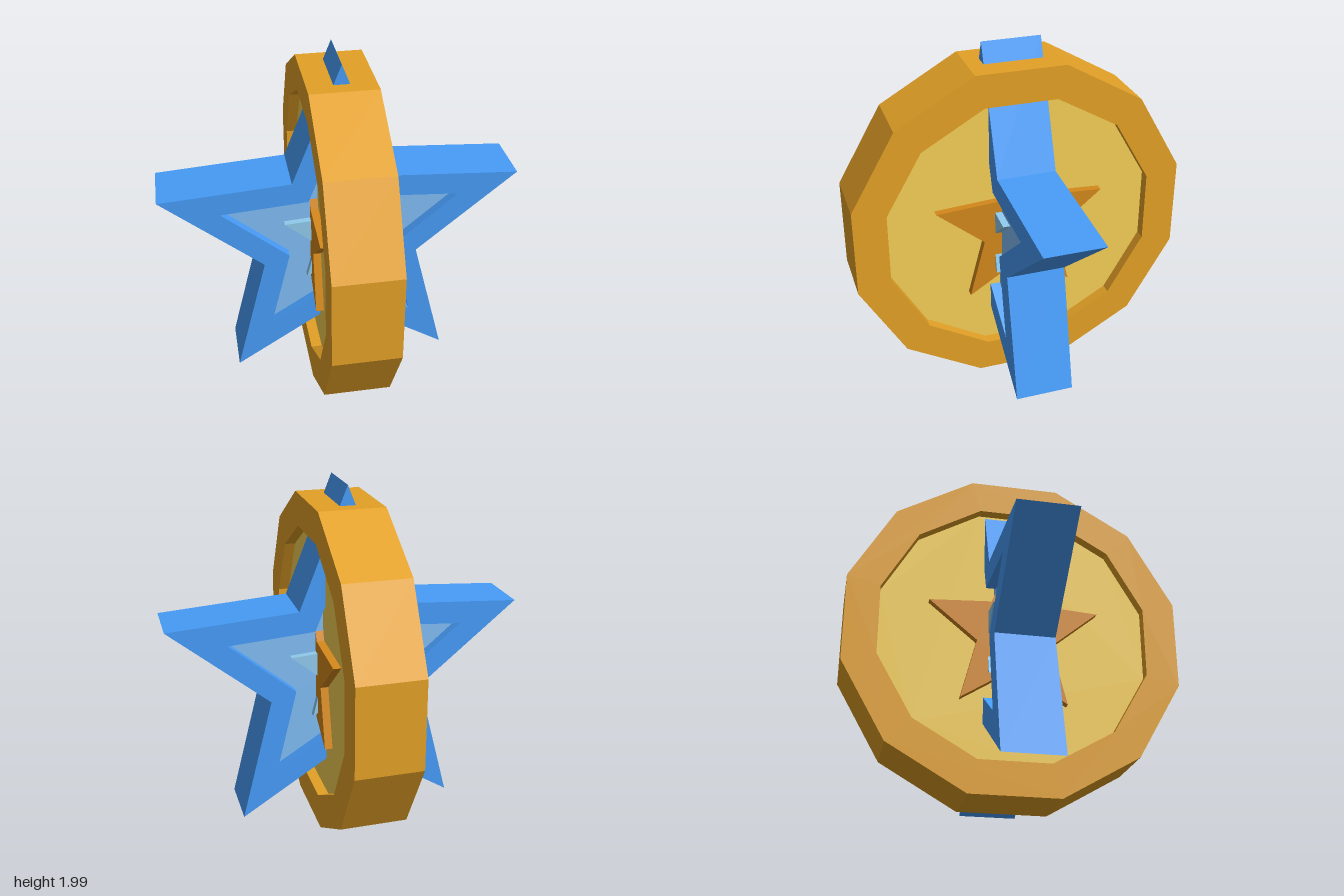
import * as THREE from 'three';

const CENTER_Y = 0.94;

// Closed ring of points; alternating radii give a star, equal radii a polygon.
function ring(count, radii, start) {
  return Array.from({ length: count }, (_, i) => {
    const a = start + (i / count) * Math.PI * 2;
    const r = radii[i % radii.length];
    return new THREE.Vector2(Math.cos(a) * r, Math.sin(a) * r);
  });
}
const star = (outer, inner) => ring(10, [outer, inner], Math.PI / 2);
const dodecagon = (r) => ring(12, [r], Math.PI / 12);

// Slab centred on its own z = 0, with an optional hole.
function slab(name, color, halfDepth, outline, hole) {
  const shape = new THREE.Shape(outline);
  if (hole) shape.holes.push(new THREE.Path(hole));
  const geometry = new THREE.ExtrudeGeometry(shape, { depth: halfDepth * 2, bevelEnabled: false });
  geometry.translate(0, 0, -halfDepth);
  const mesh = new THREE.Mesh(geometry, new THREE.MeshStandardMaterial({ color, flatShading: true }));
  mesh.name = name;
  return mesh;
}

export function createModel() {
  const model = new THREE.Group();
  model.name = 'starAndCoin';

  // Large star facing front and back: rim, sunken panel, raised emblem
  const bigStar = new THREE.Group();
  bigStar.name = 'bigStar';
  bigStar.add(
    slab('starRim', 0x479cf8, 0.165, star(1.05, 0.46), star(0.7, 0.31)),
    slab('starPanel', 0x80bdf5, 0.108, star(0.7, 0.31)),
    slab('starEmblem', 0x90cbee, 0.147, star(0.33, 0.145)),
  );

  // Twelve-sided coin facing left and right, built the same way
  const coin = new THREE.Group();
  coin.name = 'coin';
  coin.add(
    slab('coinRim', 0xe3a126, 0.185, dodecagon(0.973), dodecagon(0.78)),
    slab('coinPanel', 0xf4cf55, 0.123, dodecagon(0.78)),
    slab('coinEmblem', 0xd4881b, 0.167, star(0.505, 0.22)),
  );
  coin.rotation.y = Math.PI / 2;

  for (const part of [bigStar, coin]) {
    part.position.y = CENTER_Y;
    model.add(part);
  }
  return model;
}
